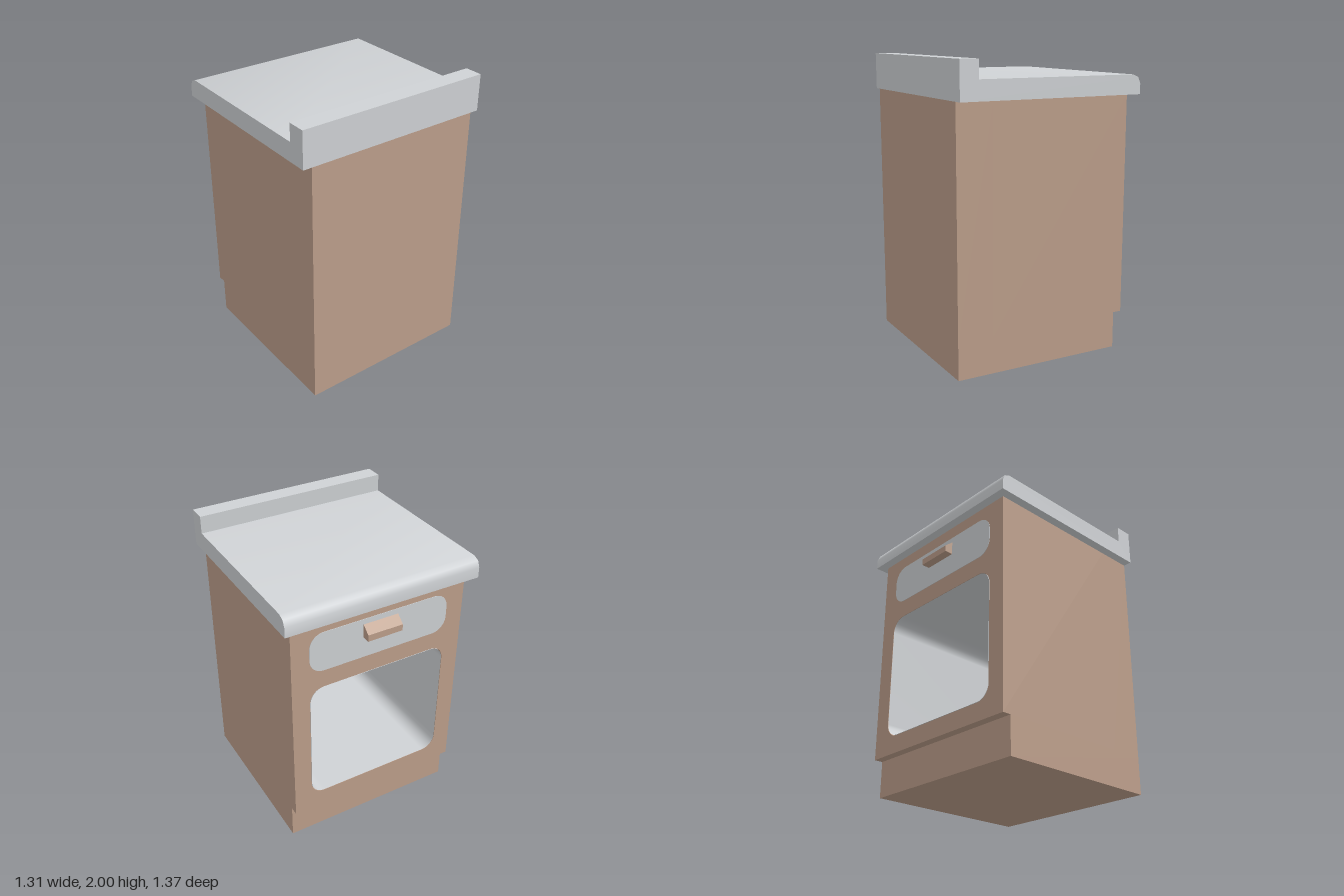
import * as THREE from 'three';
import { toCreasedNormals } from 'three/addons/utils/BufferGeometryUtils.js';

const wood = new THREE.MeshStandardMaterial({ color: 0xbd9f8b });
wood.name = 'wood';
const metal = new THREE.MeshStandardMaterial({ color: 0xcfd2d5 });
metal.name = 'metal';

const FRONT = -0.595, BACK = 0.655, HALF = 0.625; // cabinet extents
const DEPTH = 1.0; // oven cavity depth

// Rounded rectangle in the z/y plane, centred on z = 0
function roundRect(path, w, y0, y1, r) {
  const h = w / 2;
  path.moveTo(-h + r, y0);
  path.lineTo(h - r, y0);
  path.absarc(h - r, y0 + r, r, -Math.PI / 2, 0, false);
  path.lineTo(h, y1 - r);
  path.absarc(h - r, y1 - r, r, 0, Math.PI / 2, false);
  path.lineTo(-h + r, y1);
  path.absarc(-h + r, y1 - r, r, Math.PI / 2, Math.PI, false);
  path.lineTo(-h, y0 + r);
  path.absarc(-h + r, y0 + r, r, Math.PI, Math.PI * 1.5, false);
  return path;
}

function add(group, name, geometry, material) {
  const mesh = new THREE.Mesh(geometry, material);
  mesh.name = name;
  group.add(mesh);
  return mesh;
}

function box(x0, x1, y0, y1, halfZ) {
  return new THREE.BoxGeometry(x1 - x0, y1 - y0, halfZ * 2)
    .translate((x0 + x1) / 2, (y0 + y1) / 2, 0);
}

// Shape in z/y, extruded along +x from x0
function extrudeX(shape, x0, depth) {
  return new THREE.ExtrudeGeometry(shape, { depth, bevelEnabled: false, curveSegments: 4 })
    .rotateY(Math.PI / 2).translate(x0, 0, 0);
}

// Profile in x/y, extruded along z and centred
function extrudeZ(points, halfZ, crease = 0.8) {
  const shape = new THREE.Shape(points.map(([x, y]) => new THREE.Vector2(x, y)));
  const g = new THREE.ExtrudeGeometry(shape, { depth: halfZ * 2, bevelEnabled: false })
    .translate(0, 0, -halfZ);
  return toCreasedNormals(g, crease);
}

// Smooth inward-facing tube that lines the cavity
function cavityLining(outline, x0, x1) {
  const pos = [], idx = [], n = outline.length;
  outline.forEach((p) => pos.push(x0, p.y, -p.x, x1, p.y, -p.x));
  for (let i = 0; i < n; i++) {
    const a = i * 2, b = ((i + 1) % n) * 2;
    idx.push(a, b, a + 1, b, b + 1, a + 1);
  }
  const g = new THREE.BufferGeometry();
  g.setAttribute('position', new THREE.Float32BufferAttribute(pos, 3));
  g.setIndex(idx);
  g.computeVertexNormals();
  return g;
}

export function createModel() {
  const model = new THREE.Group();
  model.name = 'ovenCabinet';

  // Cabinet: pierced body, solid rear and set-back plinth
  const face = new THREE.Shape([
    new THREE.Vector2(-HALF, 0.25), new THREE.Vector2(HALF, 0.25),
    new THREE.Vector2(HALF, 1.75), new THREE.Vector2(-HALF, 1.75),
  ]);
  face.holes.push(roundRect(new THREE.Path(), 1.0, 0.372, 1.26, 0.1));
  add(model, 'cabinetBody', extrudeX(face, FRONT, DEPTH), wood);
  add(model, 'cabinetRear', box(FRONT + DEPTH, BACK, 0.25, 1.75, HALF), wood);
  add(model, 'plinth', box(-0.535, BACK, 0, 0.25, HALF), wood);

  // Oven cavity lining and its back wall
  const inner = roundRect(new THREE.Shape(), 0.994, 0.375, 1.257, 0.098);
  const outline = inner.getPoints(4).filter((p, i, a) =>
    p.distanceTo(a[(i + 1) % a.length]) > 1e-4);
  const lining = add(model, 'ovenLining', cavityLining(outline, FRONT, FRONT + DEPTH), metal);
  lining.material = metal;
  metal.side = THREE.DoubleSide;
  add(model, 'ovenBackWall', extrudeX(inner, FRONT + DEPTH - 0.006, 0.005), metal);

  // Control panel plate
  const panel = roundRect(new THREE.Shape(), 1.0, 1.385, 1.665, 0.1);
  add(model, 'controlPanel', extrudeX(panel, FRONT - 0.003, 0.004), metal);

  // Handle
  add(model, 'handle', extrudeZ([
    [FRONT, 1.535], [FRONT, 1.63], [-0.655, 1.58], [-0.655, 1.535],
  ], 0.125), wood);

  // Worktop with rounded front edge and raised back ledge
  add(model, 'worktop', extrudeZ([
    [-0.655, 1.75], [BACK, 1.75], [BACK, 2], [0.53, 2], [0.53, 1.88],
    [-0.595, 1.88], [-0.637, 1.862], [-0.655, 1.82],
  ], 0.685), metal);

  return model;
}
